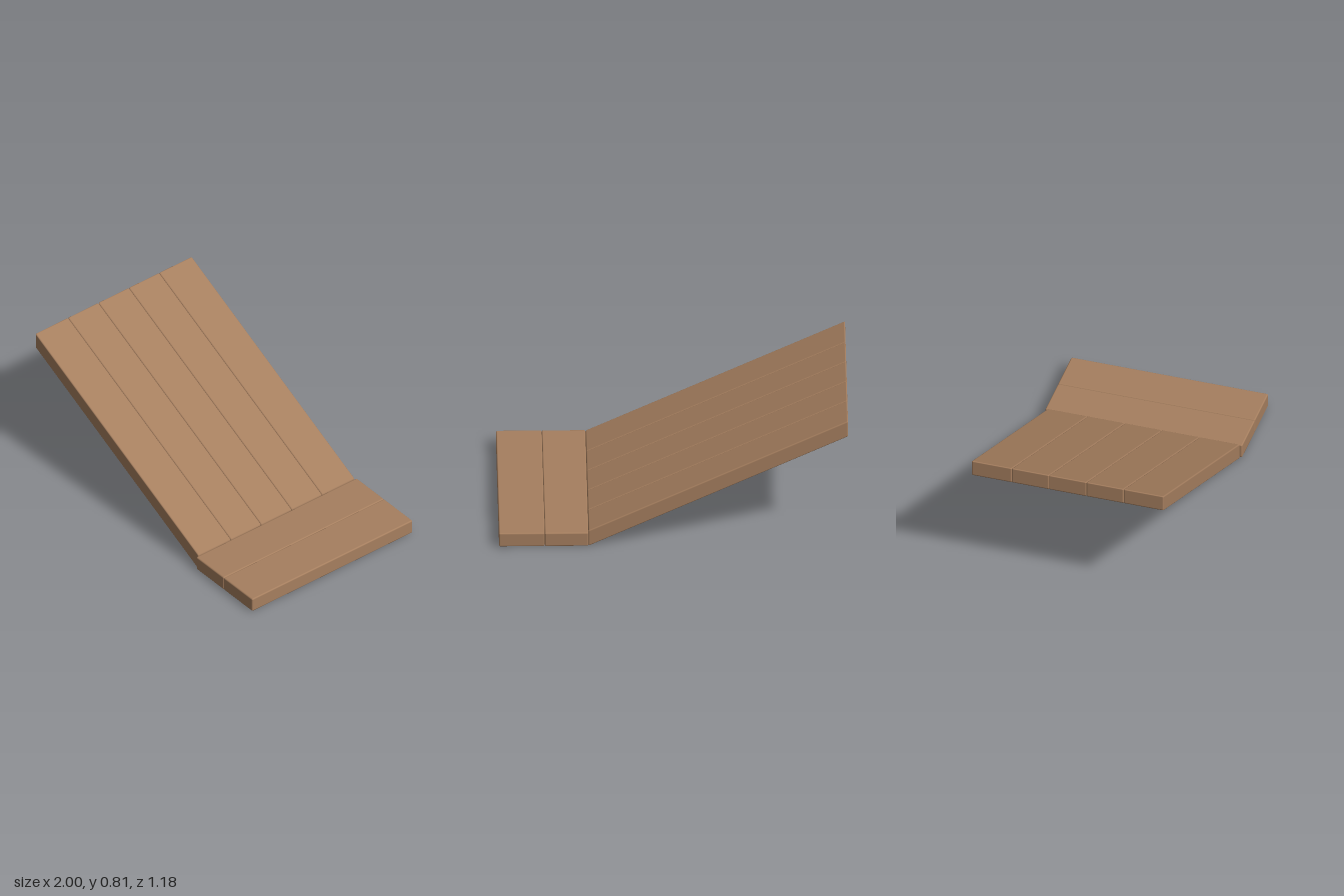
import * as THREE from 'three';
import { RoundedBoxGeometry } from 'three/addons/geometries/RoundedBoxGeometry.js';

export function createModel() {
  const group = new THREE.Group();
  group.name = 'plankRamp';
  const wood = new THREE.MeshStandardMaterial({ color: 0xa67f5f });
  wood.name = 'wood';

  // Softly bevelled plank between two corners, sheared so that y falls along x
  function plank(name, [x0, x1], [y0, y1], [z0, z1], slope = 0) {
    const geo = new RoundedBoxGeometry(x1 - x0, y1 - y0, z1 - z0, 2, 0.008);
    geo.applyMatrix4(new THREE.Matrix4().set(
      1, 0, 0, (x0 + x1) / 2,
      slope, 1, 0, (y0 + y1) / 2,
      0, 0, 1, (z0 + z1) / 2,
      0, 0, 0, 1));
    const mesh = new THREE.Mesh(geo, wood);
    mesh.name = name;
    group.add(mesh);
  }

  // Five sloping planks with upright ends
  const seams = [-0.575, -0.335, -0.112, 0.112, 0.335, 0.575];
  for (let i = 0; i < 5; i++) {
    plank('rampPlank' + (i + 1), [-1, 0.488], [0.355, 0.457], [seams[i], seams[i + 1]], -0.478);
  }

  // Two level planks across the foot of the ramp
  plank('innerFootPlank', [0.488, 0.738], [0.008, 0.096], [-0.59, 0.59]);
  plank('outerFootPlank', [0.738, 1], [0.008, 0.096], [-0.59, 0.59]);

  return group;
}
